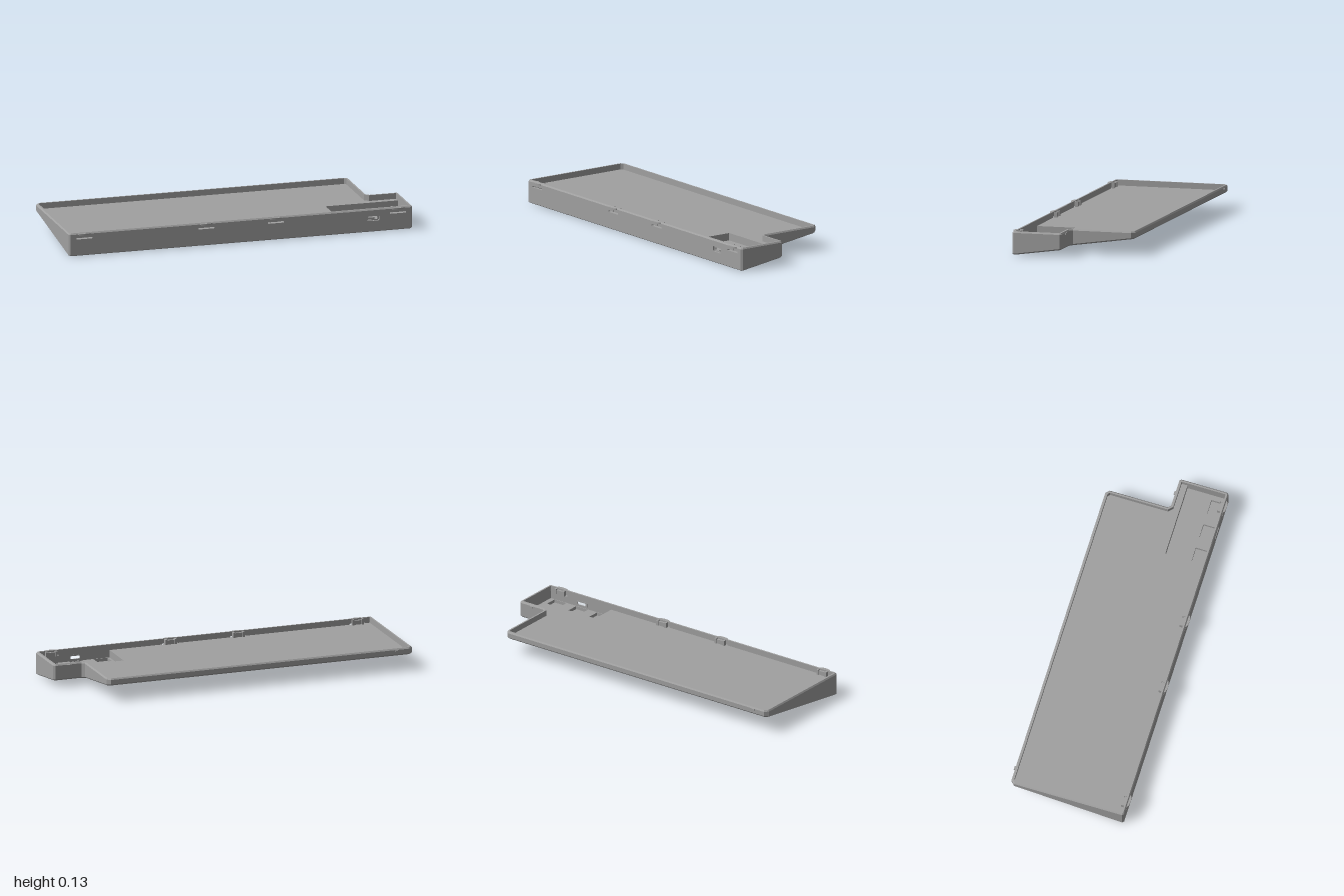
import * as THREE from 'three';

const TOP = 0.133, FLOOR = 0.1, POCKET = 0.058, FRONT = 0.327, INNER = 0.312;
const FRONT_SEG = 9; // outline segment running along the front

// Plan outline (x, z) with clipped corners
const outline = [
  [-1, -0.313], [-0.98, -0.333], [0.8, -0.333], [0.82, -0.313], [0.82, 0.025], [0.835, 0.04],
  [0.99, 0.04], [1, 0.05], [1, 0.317], [0.99, FRONT], [-0.99, FRONT], [-1, 0.317],
];
const under = (z) => Math.max(0, (0.317 - z) * 0.1415); // sloping underside

// Mitred inward offset of the outline
function inset(d) {
  const n = outline.length;
  const normal = (a, b) => {
    const dx = b[0] - a[0], dz = b[1] - a[1], l = Math.hypot(dx, dz);
    return [-dz / l, dx / l];
  };
  return outline.map((p, i) => {
    const u = normal(outline[(i + n - 1) % n], p), v = normal(p, outline[(i + 1) % n]);
    const k = d / (1 + u[0] * v[0] + u[1] * v[1]);
    return [p[0] + (u[0] + v[0]) * k, p[1] + (u[1] + v[1]) * k];
  });
}

const ring = (d, y) => inset(d).map(([x, z]) => new THREE.Vector3(x, y(z), z));

function quads(list) {
  const pts = list.flatMap(([a, b, c, d]) => [a, b, c, a, c, d]);
  const g = new THREE.BufferGeometry().setFromPoints(pts);
  g.computeVertexNormals();
  return g;
}

// Horizontal sheet from (x, z) points, facing up or down
function sheet(points, up, holes = []) {
  const s = up ? -1 : 1;
  const toVec = (pts) => pts.map(([x, z]) => new THREE.Vector2(x, s * z));
  const shape = new THREE.Shape(toVec(points));
  holes.forEach((h) => shape.holes.push(new THREE.Path(toVec(h))));
  return new THREE.ShapeGeometry(shape).rotateX((s * Math.PI) / 2);
}

const rect = (x0, x1, z0, z1) => [[x0, z0], [x1, z0], [x1, z1], [x0, z1]];

// Side and back walls of a sunken pit, open to the front wall
function pitWalls(x0, x1, z0, z1, yb, yt) {
  const path = [[x0, z1], [x0, z0], [x1, z0], [x1, z1]];
  const v = (p, y) => new THREE.Vector3(p[0], y, p[1]);
  return quads([0, 1, 2].map((i) => [v(path[i], yb), v(path[i + 1], yb), v(path[i + 1], yt), v(path[i], yt)]));
}

function roundedRect(path, x, y, w, h, r) {
  const a = w / 2 - r, b = h / 2 - r;
  path.absarc(x + a, y + b, r, 0, Math.PI / 2);
  path.absarc(x - a, y + b, r, Math.PI / 2, Math.PI);
  path.absarc(x - a, y - b, r, Math.PI, Math.PI * 1.5);
  path.absarc(x + a, y - b, r, Math.PI * 1.5, Math.PI * 2);
  path.closePath();
  return path;
}

export function createModel() {
  const group = new THREE.Group();
  const plastic = new THREE.MeshStandardMaterial({ color: 0xa0a0a0, side: THREE.DoubleSide });
  plastic.name = 'grey plastic';
  const add = (name, geometry, x = 0, y = 0, z = 0) => {
    const m = new THREE.Mesh(geometry, plastic);
    m.name = name;
    m.position.set(x, y, z);
    group.add(m);
    return m;
  };
  const box = (name, w, h, d, x, y, z) => add(name, new THREE.BoxGeometry(w, h, d), x, y, z);

  // Outer wall, bevelled rim and inner wall; the pierced front wall is left out
  const rings = [
    ring(0.01, under),
    ring(0, (z) => (0.317 - z) * 0.1415 + 0.0075),
    ring(0, () => 0.125),
    ring(0.006, () => TOP),
    ring(0.015, () => TOP),
    ring(0.015, () => 0.125),
    ring(0.015, () => FLOOR),
  ];
  const skin = [];
  for (let r = 0; r < rings.length - 1; r++) {
    for (let i = 0; i < outline.length; i++) {
      if (i === FRONT_SEG && (r === 1 || r === 5)) continue;
      const j = (i + 1) % outline.length;
      skin.push([rings[r][i], rings[r + 1][i], rings[r + 1][j], rings[r][j]]);
    }
  }
  add('trayWalls', quads(skin));

  // Sloping underside
  const base = sheet(inset(0.01), false);
  const pos = base.attributes.position;
  for (let i = 0; i < pos.count; i++) pos.setY(i, under(pos.getZ(i)));
  base.computeVertexNormals();
  add('underside', base);

  // Tray floor, leaving the pocket open
  const inner = inset(0.015);
  const floor = [...inner.slice(0, 8), [0.985, 0.09], [0.565, 0.09], [0.565, INNER], ...inner.slice(10)];
  add('trayFloor', sheet(floor, true), 0, FLOOR, 0);

  // Sunken pocket with three square wells
  const wells = [0.62, 0.765, 0.915].map((x) => [x - 0.041, x + 0.041, 0.238, 0.308]);
  add('pocketWalls', pitWalls(0.565, 0.985, 0.09, INNER, POCKET, FLOOR));
  add('pocketFloor', sheet(rect(0.565, 0.985, 0.09, INNER), true, wells.map((w) => rect(...w))), 0, POCKET, 0);
  wells.forEach((w) => {
    add('wellWalls', pitWalls(...w, 0.04, POCKET));
    add('wellFloor', sheet(rect(...w), true), 0, 0.04, 0);
  });

  // Front wall with port opening and snap slots
  const clipX = [-0.91, -0.2, 0.205, 0.915];
  const wall = new THREE.Shape(rect(-0.99, 0.99, 0.0061, 0.125).map(([x, y]) => new THREE.Vector2(x, y)));
  wall.holes.push(roundedRect(new THREE.Path(), 0.77, 0.079, 0.076, 0.03, 0.01));
  clipX.forEach((x) => wall.holes.push(roundedRect(new THREE.Path(), x, 0.101, 0.092, 0.009, 0.003)));
  add('frontWall', new THREE.ExtrudeGeometry(wall, { depth: FRONT - INNER, bevelEnabled: false, curveSegments: 5 }), 0, 0, INNER);

  // Recessed frame around the port
  const frame = roundedRect(new THREE.Shape(), 0.77, 0.079, 0.078, 0.032, 0.01);
  frame.holes.push(roundedRect(new THREE.Path(), 0.77, 0.079, 0.056, 0.017, 0.006));
  add('portFrame', new THREE.ExtrudeGeometry(frame, { depth: 0.005, bevelEnabled: false, curveSegments: 5 }), 0, 0, INNER - 0.001);

  // Snap clips: curved lip and stem outside, block inside
  const lip = new THREE.Shape();
  lip.absellipse(0, 0, 0.036, 0.013, Math.PI, Math.PI * 2);
  lip.closePath();
  const lipGeo = new THREE.ExtrudeGeometry(lip, { depth: 0.008, bevelEnabled: false, curveSegments: 8 }).rotateX(-Math.PI / 2);
  clipX.forEach((x) => {
    add('clipLip', lipGeo, x, 0.122, FRONT);
    box('clipStem', 0.018, 0.018, 0.006, x, 0.114, FRONT);
    box('clipBlock', 0.06, 0.024, 0.012, x, 0.112, INNER - 0.006);
    for (const s of [-1, 1]) box('clipPost', 0.012, 0.03, 0.018, x + s * 0.028, 0.115, INNER - 0.009);
  });

  // Small locating nubs on the rear edges
  box('rearNub', 0.02, 0.01, 0.012, -0.905, 0.12, -0.334);
  box('stepNub', 0.02, 0.01, 0.012, 0.915, 0.12, 0.039);

  return group;
}
